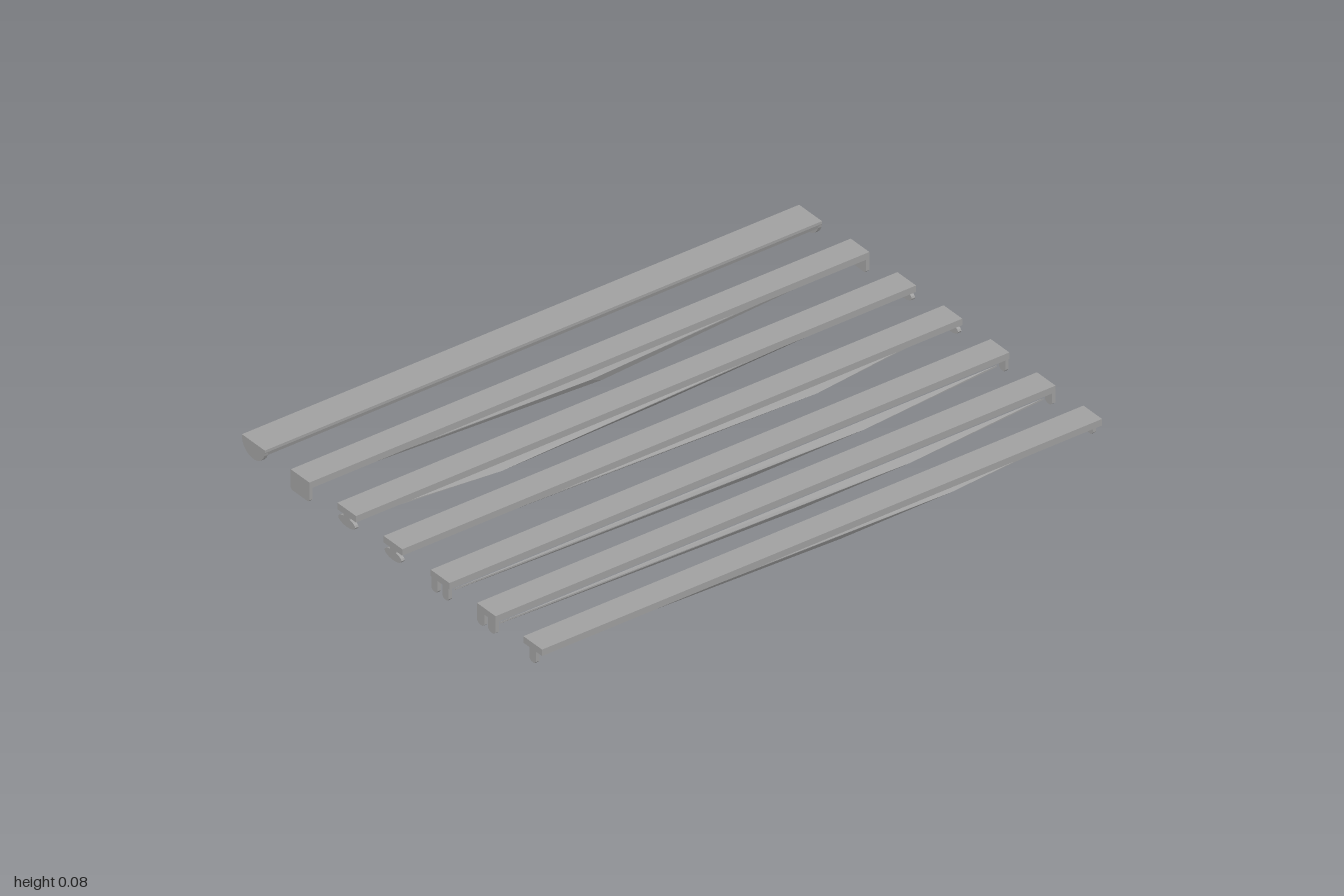
import * as THREE from 'three';
import { ConvexGeometry } from 'three/addons/geometries/ConvexGeometry.js';

const TOP = 0.077, UNDER = 0.055, PLATE = 0.012;

export function createModel() {
  const model = new THREE.Group();
  const grey = new THREE.MeshStandardMaterial({ color: 0xa0a0a0, flatShading: true });
  grey.name = 'grey metal';

  const add = (parent, geometry, name) => {
    const mesh = new THREE.Mesh(geometry, grey);
    mesh.name = name;
    parent.add(mesh);
    return mesh;
  };

  // Extrude a (z, y) outline along x, centred on x
  const alongX = (points, x, length) => {
    const shape = new THREE.Shape(points.map(([z, y]) => new THREE.Vector2(-z, y)));
    const geo = new THREE.ExtrudeGeometry(shape, { depth: length, bevelEnabled: false });
    geo.rotateY(Math.PI / 2);
    return geo.translate(x - length / 2, 0, 0);
  };
  const rect = (z, halfWidth, low, high) =>
    [[z - halfWidth, low], [z + halfWidth, low], [z + halfWidth, high], [z - halfWidth, high]];
  const ellipse = (a, b, y, from, to, n) => Array.from({ length: n }, (_, i) => {
    const t = from + (to - from) * i / (n - 1);
    return [a * Math.cos(t), y + b * Math.sin(t)];
  });

  // A pair of identical plates at the two ends of a row
  const endPlates = (row, points) => [-1, 1].forEach((s) =>
    add(row, alongX(points, s * (1 - PLATE / 2), PLATE), 'endPlate'));

  // Faceted sagging body that runs to a point at each end
  const saggingBody = (row, z, points, name) => {
    const ends = [[-0.97, 0.037, 0], [0.97, 0.037, 0], [-0.97, 0.031, 0], [0.97, 0.031, 0]];
    add(row, new ConvexGeometry([...ends, ...points].map(([x, y, dz]) =>
      new THREE.Vector3(x, y, z + dz))), name);
  };
  const tube = (row, z) => saggingBody(row, z, [
    [0.48, 0.018, 0.018], [-0.45, 0.018, -0.018], [0.1, 0, 0], [-0.2, 0.036, 0.004],
  ], 'tube');

  const makeRow = (name, z) => {
    const row = new THREE.Group();
    row.name = name;
    row.position.z = z;
    model.add(row);
    return row;
  };
  const beam = (row) => add(row, alongX(rect(0, 0.044, UNDER, TOP), 0, 2), 'beam');

  // Rows with one or two bare tubes
  [['singleTubeRow', 0.663, [0], 0.016], ['twinTubeRow', 0.444, [-0.026, 0.026], 0.017],
    ['narrowTwinTubeRow', 0.226, [-0.026, 0.026], 0.015]].forEach(([name, z, offsets, half]) => {
    const row = makeRow(name, z);
    beam(row);
    offsets.forEach((dz) => {
      endPlates(row, [[dz - half, 0.02], [dz - 0.008, 0.012], [dz + 0.008, 0.012],
        [dz + half, 0.02], [dz + half, UNDER], [dz - half, UNDER]]);
      tube(row, dz);
    });
  });

  // Rows with a wide oval cover, the second one mirrored
  [['ovalCoverRow', 0.004, 1], ['mirroredOvalCoverRow', -0.214, -1]].forEach(([name, z, m]) => {
    const row = makeRow(name, z);
    beam(row);
    endPlates(row, ellipse(0.04, 0.016, 0.034, 0, Math.PI * 2 * 15 / 16, 16));
    endPlates(row, rect(0, 0.014, 0.045, UNDER));
    saggingBody(row, 0, [
      [0.48 * m, 0.028, 0.046], [-0.45 * m, 0.028, -0.046], [0.1, 0.01, 0.012],
      [-0.47, 0.014, -0.02 * m], [0.5, 0.013, 0.02 * m], [0, 0.04, 0],
    ], 'ovalCover');
  });

  // Row with a square-ended cover
  const square = makeRow('squareCoverRow', -0.434);
  beam(square);
  endPlates(square, [[-0.044, 0.016], [-0.038, 0.01], [0.038, 0.01], [0.044, 0.016],
    [0.044, TOP - 0.001], [-0.044, TOP - 0.001]]);
  saggingBody(square, 0, [
    [0.48, 0.035, -0.047], [0.48, 0.014, -0.038], [0, 0.035, 0.047],
    [0.05, 0.01, 0.036], [-0.47, 0.014, -0.02],
  ], 'squareCover');

  // Row with half-round ends: the beam is the upper slice of the same outline
  const round = makeRow('halfRoundRow', -0.654);
  add(round, alongX([[-0.05, UNDER], [0.05, UNDER], [0.054, 0.068], [0.054, TOP], [-0.054, TOP],
    [-0.054, 0.068]], -0.005, 1.99), 'beam');
  [-0.994, 0.984].forEach((x) =>
    add(round, alongX([...ellipse(0.054, 0.05, 0.071, Math.PI, Math.PI * 2, 12),
      [0.054, TOP - 0.001], [-0.054, TOP - 0.001]], x, PLATE), 'halfRoundEnd'));

  return model;
}
